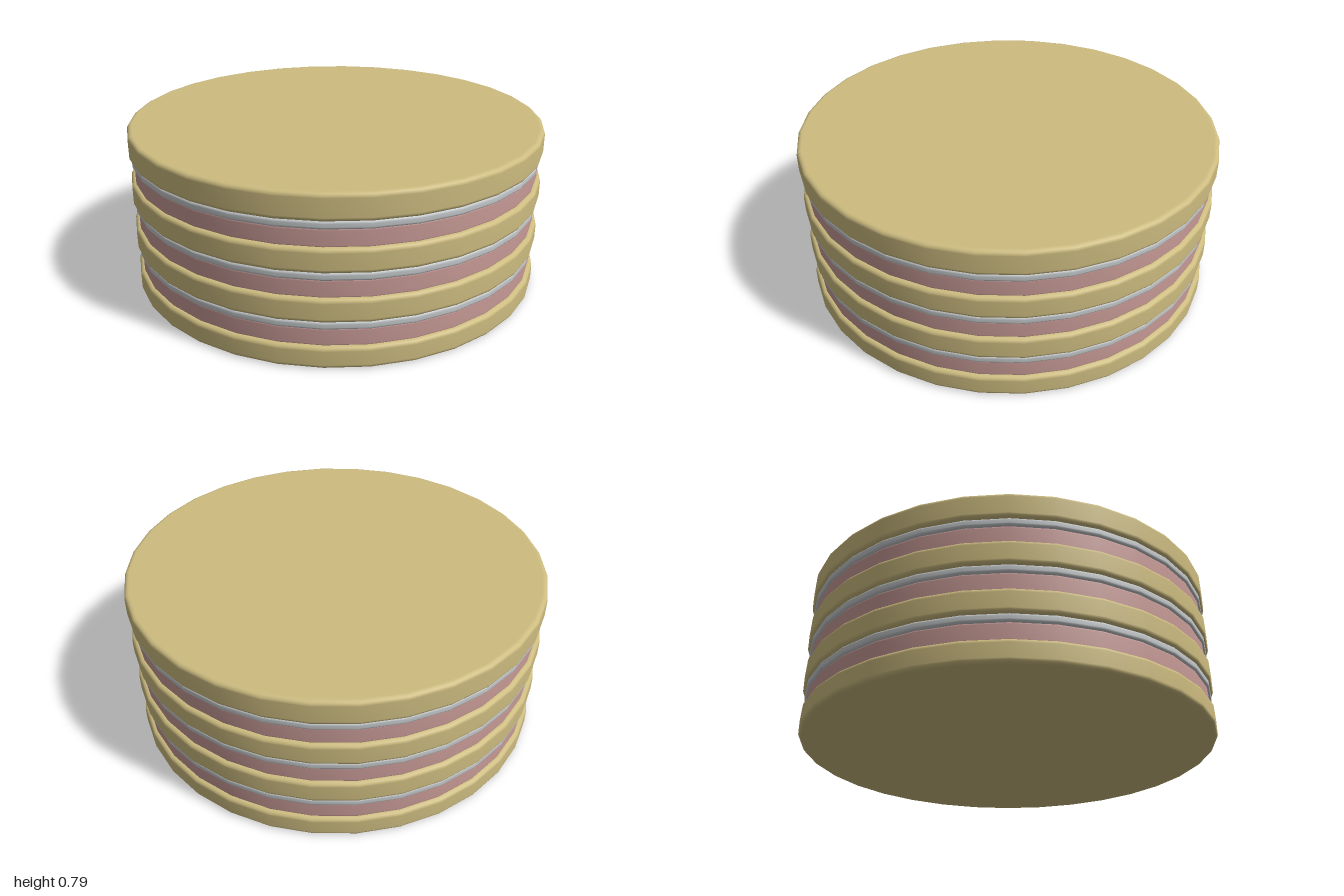
import * as THREE from 'three';

const SIDES = 32;
const BISCUIT = 0xcdbc80, CREAM = 0xc4c8ca, FILLING = 0xc79a96;

// Solid disc with rounded rims, turned from a half profile
function disc(name, color, radius, bottom, top, bevel) {
  const points = [new THREE.Vector2(0, bottom), new THREE.Vector2(radius - bevel - 0.005, bottom)];
  const corner = (cy, from) => {
    for (let i = 0; i <= 4; i++) {
      const a = from + (i / 4) * Math.PI / 2;
      points.push(new THREE.Vector2(radius - bevel + Math.cos(a) * bevel, cy + Math.sin(a) * bevel));
    }
  };
  corner(bottom + bevel, -Math.PI / 2);
  corner(top - bevel, 0);
  points.push(new THREE.Vector2(radius - bevel - 0.005, top), new THREE.Vector2(0, top));
  const mesh = new THREE.Mesh(
    new THREE.LatheGeometry(points, SIDES),
    new THREE.MeshStandardMaterial({ color })
  );
  mesh.name = name;
  return mesh;
}

export function createModel() {
  const model = new THREE.Group();
  model.name = 'layeredStack';

  // Base layer
  model.add(disc('baseLayer', BISCUIT, 1, 0, 0.105, 0.02));

  // Three repeats of filling, cream and a wider layer on top
  for (let i = 0; i < 3; i++) {
    const y = 0.105 + i * 0.225;
    const layer = new THREE.Group();
    layer.name = 'layer' + (i + 1);
    layer.add(
      disc('filling', FILLING, 0.98, y - 0.01, y + 0.085, 0.015),
      disc('cream', CREAM, 0.99, y + 0.077, y + 0.115, 0.012),
      disc('upperLayer', BISCUIT, 1, y + 0.113, y + (i === 2 ? 0.235 : 0.225), 0.02)
    );
    model.add(layer);
  }
  return model;
}
